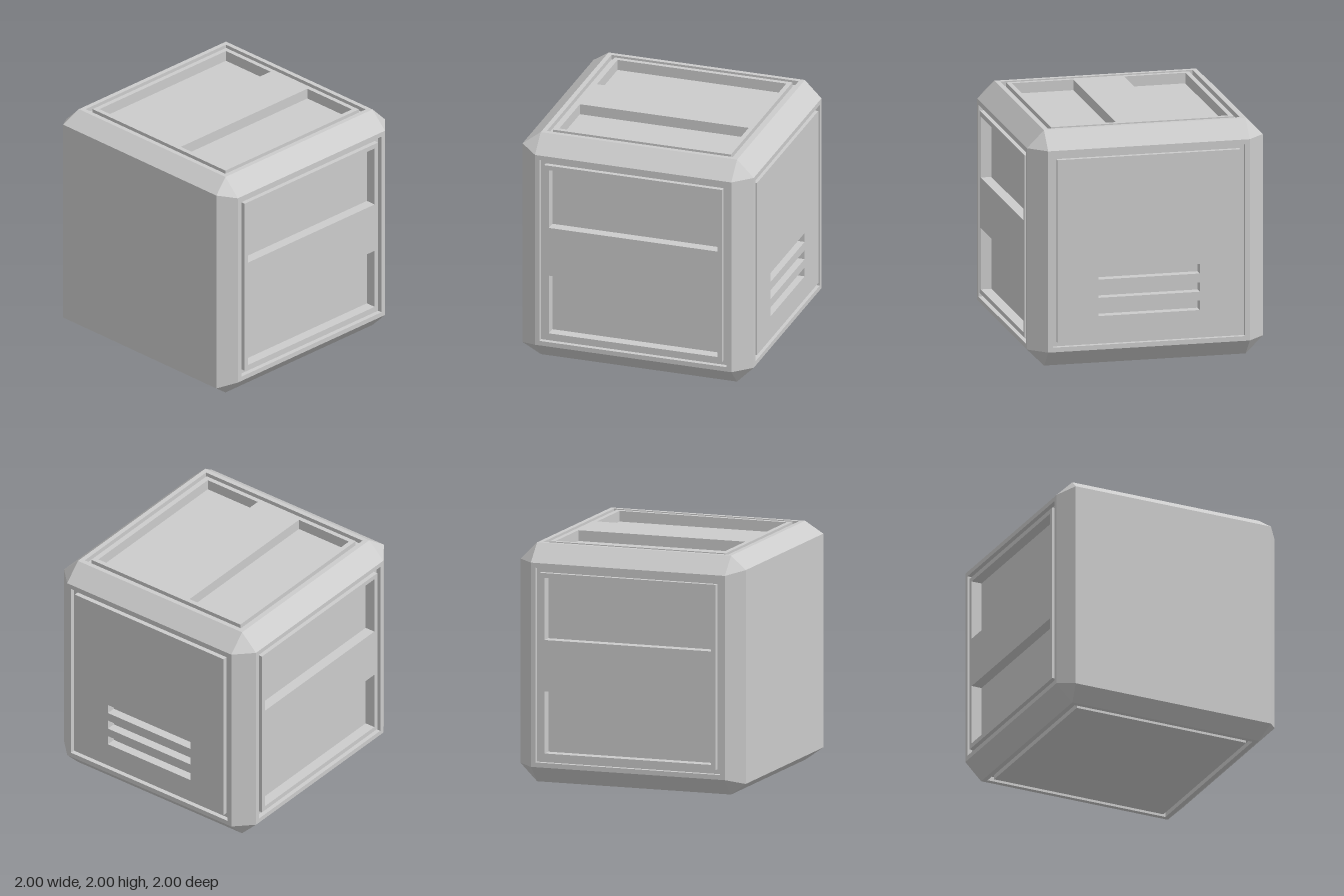
import * as THREE from 'three';

const E = 0.855;   // half width of the framed faces
const F = 0.895;   // half width of the plain front face
const material = new THREE.MeshStandardMaterial({ color: 0xcccccc, flatShading: true });

// Mesh from a list of flat convex polygons (each a list of Vector3)
function polygonMesh(name, polygons) {
  const positions = [];
  for (const p of polygons) {
    for (let i = 1; i < p.length - 1; i++) {
      for (const v of [p[0], p[i], p[i + 1]]) positions.push(v.x, v.y, v.z);
    }
  }
  const geometry = new THREE.BufferGeometry();
  geometry.setAttribute('position', new THREE.Float32BufferAttribute(positions, 3));
  geometry.computeVertexNormals();
  const mesh = new THREE.Mesh(geometry, material);
  mesh.name = name;
  return mesh;
}

// Rectangles are [x0, y0, x1, y1], corners counter-clockwise
const square = (h) => [-h, -h, h, h];
const corners = ([x0, y0, x1, y1]) => [[x0, y0], [x1, y0], [x1, y1], [x0, y1]];

// Flat rectangle with rectangular holes at height z
function plate(name, rect, holes, z) {
  const toPoints = (r) => corners(r).map(([x, y]) => new THREE.Vector2(x, y));
  const shape = new THREE.Shape(toPoints(rect));
  for (const h of holes) shape.holes.push(new THREE.Path(toPoints(h)));
  const mesh = new THREE.Mesh(new THREE.ShapeGeometry(shape), material);
  mesh.position.z = z;
  mesh.name = name;
  return mesh;
}

// Four walls around a rectangle, facing inward or outward
function walls(name, rect, top, depth, inward) {
  const c = corners(rect);
  return polygonMesh(name, c.map((a, i) => {
    const b = c[(i + 1) % 4];
    const quad = [
      new THREE.Vector3(...a, top - depth), new THREE.Vector3(...b, top - depth),
      new THREE.Vector3(...b, top), new THREE.Vector3(...a, top),
    ];
    return inward ? quad.reverse() : quad;
  }));
}

// Framed face: rim, groove and a panel with sunken pockets, facing +z
function framedFace(name, pockets, pocketDepth) {
  const groove = 0.04, outer = square(0.815), inner = square(0.775);
  const face = new THREE.Group();
  face.name = name;
  face.add(
    plate('rim', square(E), [outer], 1),
    walls('grooveOuterWalls', outer, 1, groove, true),
    plate('grooveFloor', outer, [inner], 1 - groove),
    walls('grooveInnerWalls', inner, 1, groove, false),
    plate('panel', inner, pockets, 1),
  );
  for (const p of pockets) {
    face.add(
      walls('pocketWalls', p, 1, pocketDepth, true),
      plate('pocketFloor', p, [], 1 - pocketDepth),
    );
  }
  return face;
}

// Bevelled edges, corner triangles and the plain front
function createShell() {
  const signs = [-1, 1];
  // Corner of the face on the given axis, in the octant given by s
  const vertex = (axis, s) => {
    const h = axis === 2 && s[2] > 0 ? F : E;
    return new THREE.Vector3(...s.map((v, i) => (i === axis ? v : v * h)));
  };
  // Turn a polygon so that it faces away from the centre
  const outward = (p) => {
    const n = p[1].clone().sub(p[0]).cross(p[2].clone().sub(p[0]));
    return n.dot(p[0]) < 0 ? p.reverse() : p;
  };

  const bevels = [], tips = [];
  for (const [a, b, c] of [[0, 1, 2], [1, 2, 0], [2, 0, 1]]) {
    for (const sa of signs) for (const sb of signs) {
      const low = [], high = [];
      low[a] = high[a] = sa;
      low[b] = high[b] = sb;
      low[c] = -1;
      high[c] = 1;
      bevels.push(outward([vertex(a, low), vertex(a, high), vertex(b, high), vertex(b, low)]));
    }
  }
  for (const x of signs) for (const y of signs) for (const z of signs) {
    tips.push(outward([0, 1, 2].map((axis) => vertex(axis, [x, y, z]))));
  }
  return [
    polygonMesh('bevelledEdges', bevels),
    polygonMesh('cornerTriangles', tips),
    plate('plainFront', square(F), [], 1),
  ];
}

export function createModel() {
  const model = new THREE.Group();
  model.name = 'crate';
  const body = new THREE.Group();
  body.name = 'body';
  body.position.y = 1;
  model.add(body);
  body.add(...createShell());

  // Two wide pockets on each side, two long ones on top
  const a = 0.215, b = 0.735, depth = 0.09;
  const sidePockets = [[-b, a, b, b], [-b, -b, b, -a]];
  const topPockets = [[a, -b, b, b], [-b, -b, -a, b]];
  // Three vent slots low on the back
  const slots = [-0.22, -0.375, -0.53].map((y) => [-0.43, y - 0.04, 0.43, y + 0.04]);

  const left = framedFace('leftFace', sidePockets, depth);
  left.rotation.y = Math.PI / 2;
  const right = framedFace('rightFace', sidePockets, depth);
  right.rotation.y = -Math.PI / 2;
  const top = framedFace('topFace', topPockets, depth);
  top.rotation.x = -Math.PI / 2;
  const bottom = framedFace('bottomFace', [], depth);
  bottom.rotation.x = Math.PI / 2;
  const back = framedFace('backFace', slots, 0.08);
  back.rotation.y = Math.PI;
  body.add(left, right, top, bottom, back);

  return model;
}
